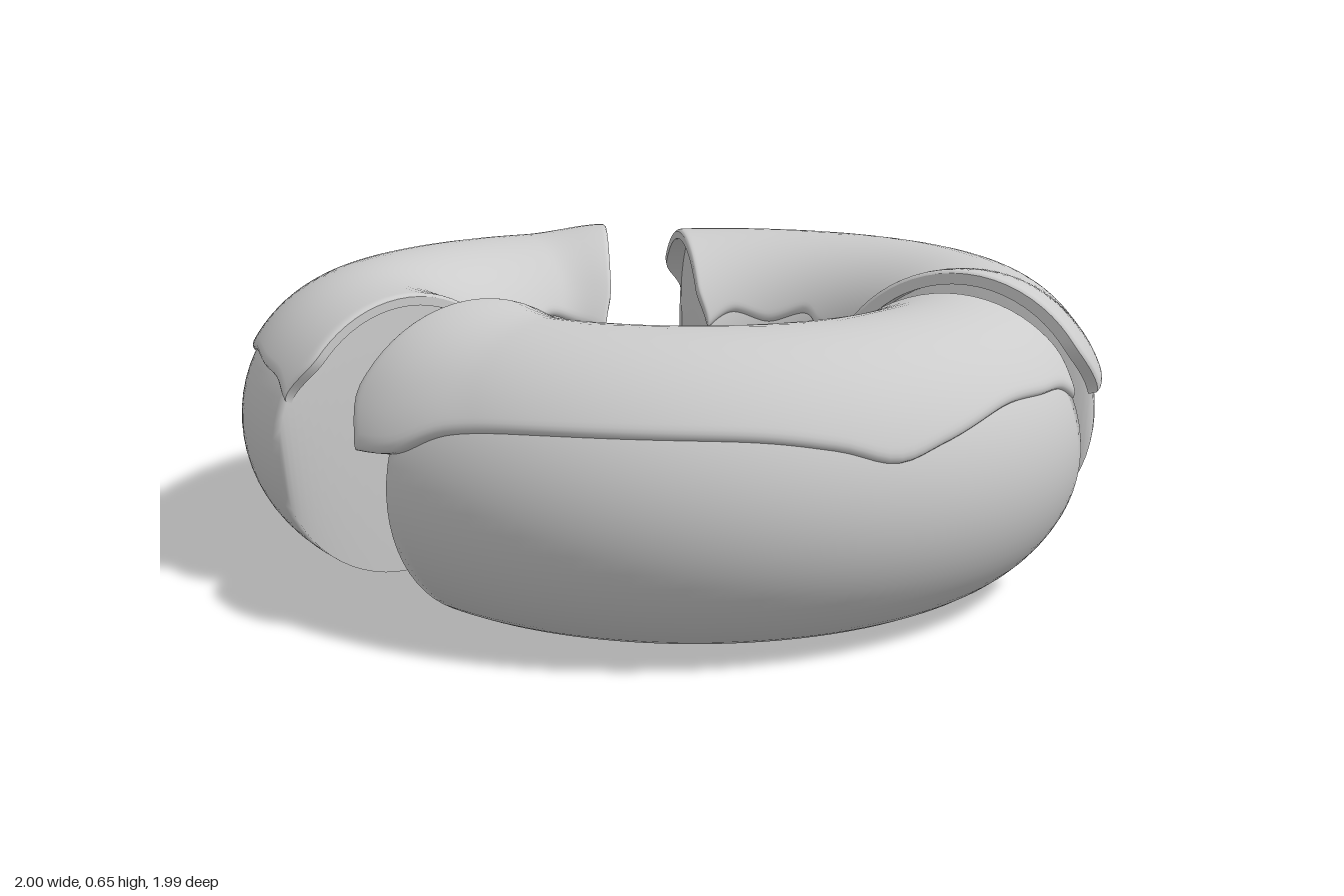
import * as THREE from 'three';

const RING = 0.576, HALF_W = 0.296, HALF_H = 0.307; // arc radius and tube half sizes
const SPREAD = 0.15; // how far each segment's arc centre sits from the middle
const { lerp, smoothstep, degToRad } = THREE.MathUtils;

// Point on the tube of a segment: angle a along the arc (degrees), phi round the tube
function ringPoint(a, phi, offset) {
  const r = RING + (HALF_W + offset) * Math.cos(phi);
  const y = HALF_H + (HALF_H + offset) * Math.sin(phi);
  return [r * Math.cos(degToRad(a)), y, r * Math.sin(degToRad(a))];
}

// Skin a list of closed cross-sections and cap both ends, with sharp or soft rims.
function skin(sections, sharp) {
  const n = sections[0].length, pos = sections.flat(2), index = [];
  const last = sections.length - 1;
  for (let i = 0; i < last; i++) {
    for (let j = 0; j < n; j++) {
      const k = (j + 1) % n, a = i * n, b = a + n;
      index.push(a + j, a + k, b + j, a + k, b + k, b + j);
    }
  }
  for (const i of [0, last]) {
    const base = sharp ? pos.length / 3 : i * n;
    if (sharp) pos.push(...sections[i].flat());
    for (let j = 0; j < n / 2 - 1; j++) {
      const a = base + j, b = a + 1, c = base + n - 2 - j, d = c + 1;
      if (i) index.push(a, b, c, a, c, d);
      else index.push(a, c, b, a, d, c);
    }
  }
  const g = new THREE.BufferGeometry();
  g.setAttribute('position', new THREE.Float32BufferAttribute(pos, 3));
  g.setIndex(index);
  g.computeVertexNormals();
  return g;
}

// Dough: full round tube with two radial cuts
function doughGeometry() {
  const sections = [];
  for (let i = 0; i <= 48; i++) {
    const loop = [];
    for (let j = 0; j < 64; j++) loop.push(ringPoint(lerp(-24, 89.5, i / 48), (j / 64) * Math.PI * 2, 0));
    sections.push(loop);
  }
  return skin(sections, false);
}

// Heights of the wavy lower edges of the icing, from end cut (0) to start cut (1)
const edge = (pts) => new THREE.SplineCurve(pts.map(([u, y]) => new THREE.Vector2(u, y))).getPoints(300);
const outerEdge = edge([[0, 0.43], [0.04, 0.465], [0.1, 0.475], [0.19, 0.48], [0.3, 0.44], [0.37, 0.415],
  [0.44, 0.45], [0.55, 0.475], [0.75, 0.475], [0.87, 0.455], [0.94, 0.4], [1, 0.385]]);
const innerEdge = edge([[0, 0.42], [0.1, 0.46], [0.25, 0.44], [0.4, 0.47], [0.5, 0.44], [0.65, 0.43],
  [0.78, 0.47], [0.9, 0.44], [1, 0.41]]);
function heightAt(samples, u) {
  const i = samples.findIndex((p) => p.x >= u);
  if (i <= 0) return samples[i < 0 ? samples.length - 1 : 0].y;
  const p = samples[i - 1], q = samples[i];
  return lerp(p.y, q.y, (u - p.x) / (q.x - p.x));
}

// Icing: thin shell draped over the top, overhanging the cuts, with rounded lips and corners
function icingGeometry() {
  const round = (d) => Math.sqrt(1 - (1 - Math.min(1, d)) ** 2);
  const sections = [], N = 96, M = 40;
  for (let i = 0; i <= N; i++) {
    const t = i / N;
    const u = lerp(t, (1 - Math.cos(Math.PI * t)) / 2, 0.8);
    const phi0 = Math.asin((heightAt(outerEdge, u) - HALF_H) / 0.325);
    const phi1 = Math.PI - Math.asin((heightAt(innerEdge, u) - HALF_H) / 0.325);
    const lift = 0.02 * smoothstep(u, 0.84, 1);
    const endRound = 0.5 + 0.5 * round(Math.min(u, 1 - u) / 0.012);
    const top = [], under = [];
    for (let j = 0; j <= M; j++) {
      const s = (1 - Math.cos((Math.PI * j) / M)) / 2;
      const rim = Math.min(s, 1 - s);
      const phi = lerp(phi0, phi1, s);
      const recess = 3.5 * (1 - smoothstep(rim, 0, 0.15));
      const a = lerp(-27.5 + recess, 98.3 - recess, u);
      top.push(ringPoint(a, phi, 0.014 * round(rim / 0.03) * endRound + lift));
      under.push(ringPoint(a, phi, -0.012 + lift * 0.7));
    }
    sections.push([...top, ...under.reverse()]);
  }
  return skin(sections, true);
}

export function createModel() {
  const model = new THREE.Group();
  model.name = 'slicedDoughnut';
  const material = new THREE.MeshStandardMaterial({ color: 0xcccccc, side: THREE.DoubleSide });
  const parts = { dough: doughGeometry(), icing: icingGeometry() };
  // Three equal segments, the left one turned slightly
  [['leftSegment', 2.5], ['backSegment', 0], ['rightSegment', 0]].forEach(([name, twist], k) => {
    const segment = new THREE.Group();
    segment.name = name;
    for (const [part, geometry] of Object.entries(parts)) {
      const mesh = new THREE.Mesh(geometry, material);
      mesh.name = part;
      segment.add(mesh);
    }
    const middle = degToRad(30 - 120 * k);
    segment.position.set(SPREAD * Math.cos(middle), 0, SPREAD * Math.sin(middle) + 0.025);
    segment.rotation.y = degToRad(120 * k + twist);
    model.add(segment);
  });
  return model;
}
